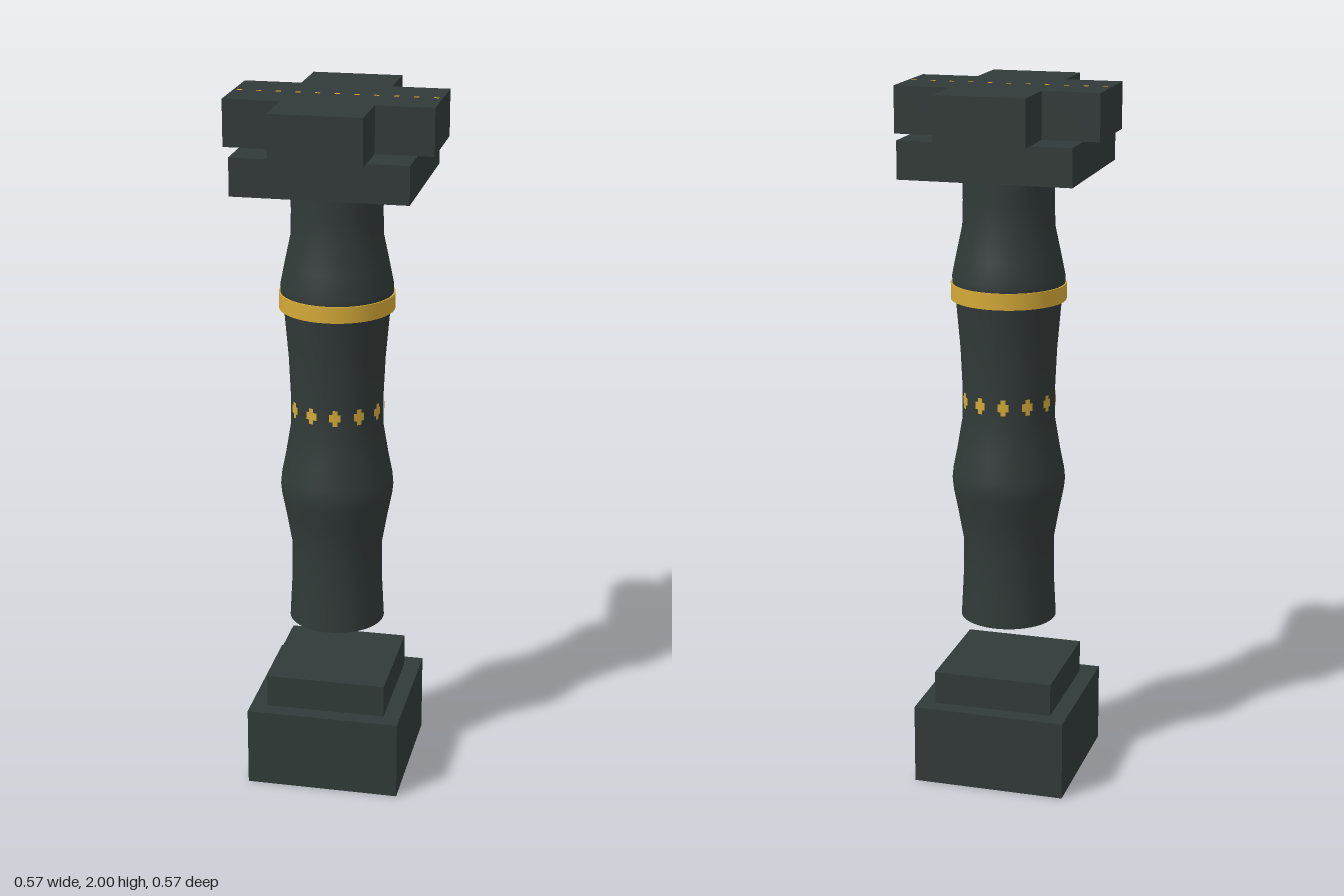
import * as THREE from 'three';

const stone = new THREE.MeshStandardMaterial({ color: 0x313a38 });
stone.name = 'darkStone';
const gold = new THREE.MeshStandardMaterial({ color: 0xd4a937 });
gold.name = 'gold';

export function createModel() {
  const model = new THREE.Group();
  model.name = 'column';

  const add = (name, geometry, material, y = 0, parent = model) => {
    const mesh = new THREE.Mesh(geometry, material);
    mesh.name = name;
    mesh.position.y = y;
    parent.add(mesh);
    return mesh;
  };
  // Square slab between two heights
  const slab = (name, half, y0, y1) =>
    add(name, new THREE.BoxGeometry(half * 2, y1 - y0, half * 2), stone, (y0 + y1) / 2);

  // Stepped base, with the shaft floating above it
  slab('basePlinth', 0.22, 0, 0.23);
  slab('baseStep', 0.172, 0.23, 0.325);

  // Turned shaft with two bulges
  const profile = [
    [0.137, 0.465], [0.131, 0.58], [0.13, 0.7], [0.146, 0.79], [0.158, 0.85],
    [0.161, 0.88], [0.158, 0.91], [0.146, 0.97], [0.131, 1.06], [0.131, 1.15],
    [0.136, 1.26], [0.148, 1.4], [0.157, 1.44], [0.158, 1.47], [0.146, 1.53],
    [0.129, 1.61], [0.127, 1.68], [0.128, 1.765],
  ].map(([r, y]) => new THREE.Vector2(r, y));
  add('shaft', new THREE.LatheGeometry(profile, 48), stone);
  add('shaftUnderside', new THREE.CircleGeometry(0.137, 48), stone, 0.465).rotation.x = Math.PI / 2;

  // Gold collar
  add('collar', new THREE.CylinderGeometry(0.162, 0.162, 0.046, 48), gold, 1.428);

  // Ring of small curved gold inlays
  const inlays = new THREE.Group();
  inlays.name = 'shaftInlays';
  model.add(inlays);
  for (let i = 0; i < 12; i++) {
    const angle = THREE.MathUtils.degToRad(9 + i * 30);
    const wide = new THREE.CylinderGeometry(0.1335, 0.1335, 0.022, 3, 1, true, angle - 0.12, 0.24);
    const tall = new THREE.CylinderGeometry(0.134, 0.134, 0.046, 2, 1, true, angle - 0.05, 0.1);
    add('inlayBar', wide, gold, 1.12, inlays);
    add('inlayStem', tall, gold, 1.12, inlays);
  }

  // Square capital topped by a cross-shaped block
  slab('capital', 0.242, 1.765, 1.87);
  const a = 0.127, b = 0.287;
  const cross = new THREE.Shape([
    [-a, -b], [a, -b], [a, -a], [b, -a], [b, a], [a, a],
    [a, b], [-a, b], [-a, a], [-b, a], [-b, -a], [-a, -a],
  ].map(([x, y]) => new THREE.Vector2(x, y)));
  const crossGeometry = new THREE.ExtrudeGeometry(cross, { depth: 0.13, bevelEnabled: false });
  crossGeometry.rotateX(-Math.PI / 2);
  add('capitalCross', crossGeometry, stone, 1.87);

  // Row of tiny gold flecks across the top
  for (let i = -5; i <= 5; i++) {
    add('topFleck', new THREE.BoxGeometry(0.014, 0.001, 0.01), gold, 2).position.x = i * 0.054;
  }
  return model;
}
